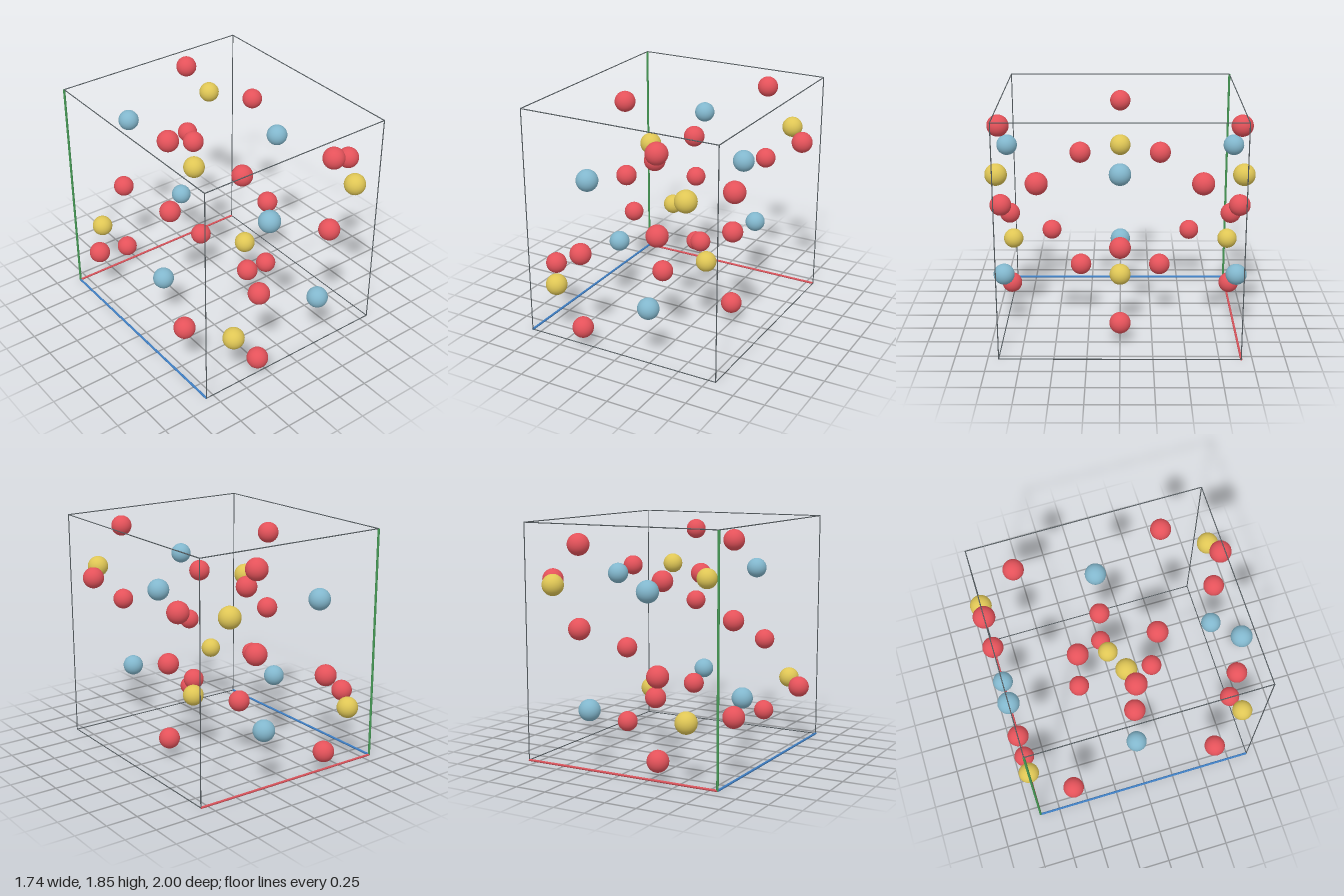
import * as THREE from 'three';

const paint = (name, color) => {
  const m = new THREE.MeshStandardMaterial({ color });
  m.name = name;
  return m;
};

export function createModel() {
  const red = paint('red', 0xe4525a);
  const yellow = paint('yellow', 0xdfc655);
  const blue = paint('blue', 0x82b7cd);
  const slate = paint('frameSlate', 0x555c60);
  const axisRed = paint('axisRed', 0xd8525a);
  const axisGreen = paint('axisGreen', 0x469a55);
  const axisBlue = paint('axisBlue', 0x3f7fc4);

  const model = new THREE.Group();
  model.name = 'crystalUnitCell';

  // Atoms
  const ball = new THREE.SphereGeometry(0.083, 32, 20);
  const atom = (name, material, x, y, z) => {
    const mesh = new THREE.Mesh(ball, material);
    mesh.name = name;
    mesh.position.set(x, y, z);
    model.add(mesh);
  };
  const low = 0.47, high = 1.388, face = 0.915;

  // Outer faces (z = +-face) and the middle plane (z = 0)
  for (const z of [-face, 0, face]) {
    const [a, b] = z === 0 ? [blue, yellow] : [yellow, blue];
    const names = z === 0 ? ['blueAtom', 'yellowAtom'] : ['yellowAtom', 'blueAtom'];
    atom(names[0], a, -0.565, low, z);
    atom(names[1], b, 0.252, low, z);
    atom(names[1], b, -0.252, high, z);
    atom(names[0], a, 0.565, high, z);
    const x = z === 0 ? 0.484 : -0.333;
    for (const y of [0.158, 0.78]) atom('redAtom', red, x, y, z);
    for (const y of [1.074, 1.699]) atom('redAtom', red, -x, y, z);
  }
  // Red atoms between the planes
  for (const s of [-1, 1]) {
    atom('redAtom', red, -0.786, low, s * 0.6);
    atom('redAtom', red, 0.032, low, s * 0.316);
    atom('redAtom', red, 0.786, high, s * 0.6);
    atom('redAtom', red, -0.032, high, s * 0.316);
  }

  // Cell frame: thin edges, with three thicker coloured axes at one corner
  const min = new THREE.Vector3(-0.817, 0.009, -face);
  const max = new THREE.Vector3(0.817, 1.845, face);
  const axes = ['x', 'y', 'z'];
  const axisColors = [axisRed, axisGreen, axisBlue];
  const up = new THREE.Vector3(0, 1, 0);
  axes.forEach((k, i) => {
    const [p, q] = axes.filter((n) => n !== k);
    for (const u of [0, 1]) for (const v of [0, 1]) {
      const isAxis = u + v === 0;
      const start = min.clone(), end = min.clone();
      start[p] = end[p] = u ? max[p] : min[p];
      start[q] = end[q] = v ? max[q] : min[q];
      end[k] = max[k];
      const length = start.distanceTo(end), r = isAxis ? 0.009 : 0.004;
      const rod = new THREE.Mesh(
        new THREE.CylinderGeometry(r, r, length, 10), isAxis ? axisColors[i] : slate);
      rod.name = isAxis ? `${k}Axis` : 'cellEdge';
      rod.position.addVectors(start, end).multiplyScalar(0.5);
      rod.quaternion.setFromUnitVectors(up, end.sub(start).normalize());
      model.add(rod);
    }
  });
  return model;
}
